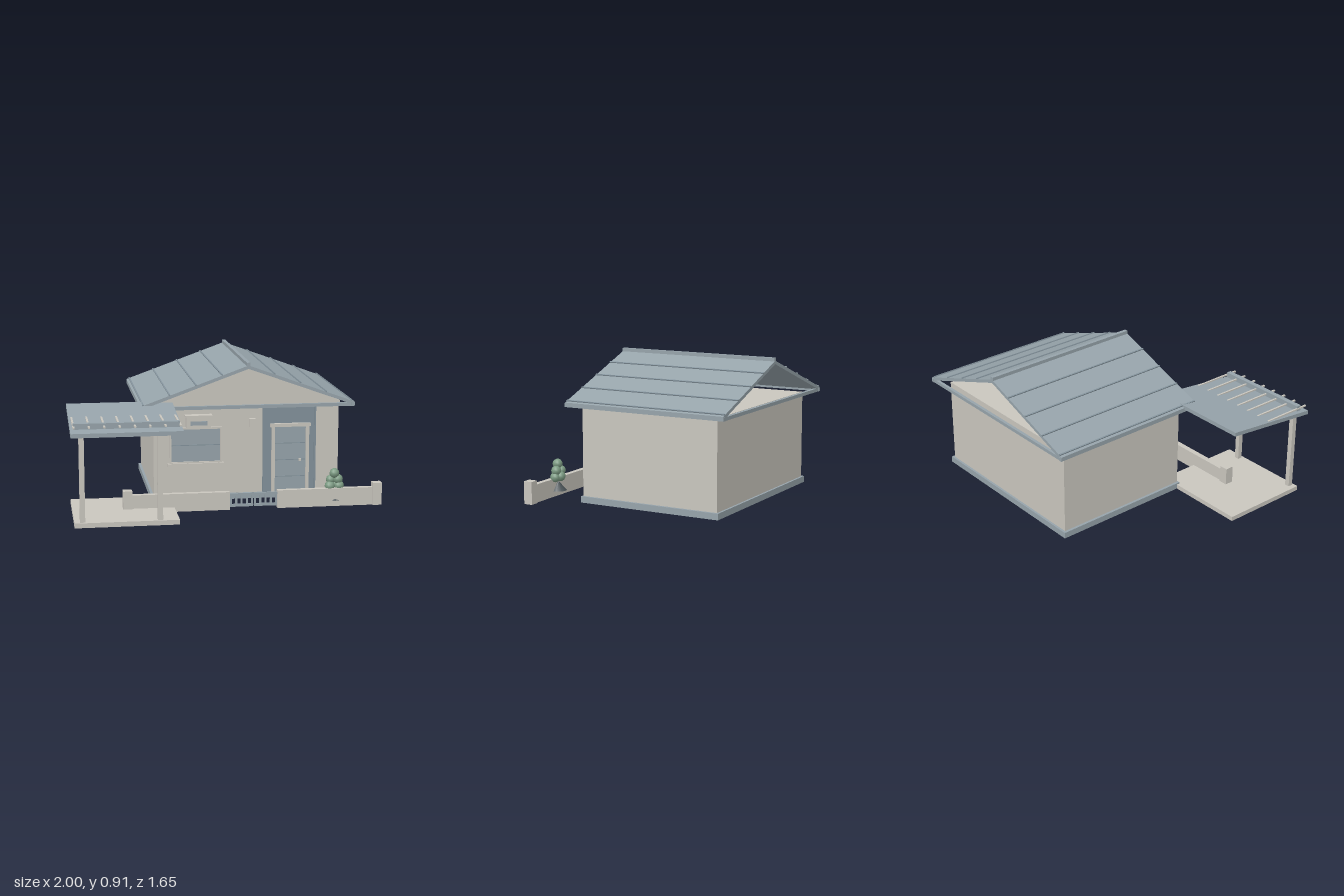
import * as THREE from 'three';

const mat = (name, color, side = THREE.FrontSide) => {
  const m = new THREE.MeshStandardMaterial({ color, side });
  m.name = name;
  return m;
};

export function createModel() {
  const wall = mat('plaster', 0xc9c6be);
  const slate = mat('slateBlue', 0x96a3aa);
  const panel = mat('panelBlue', 0x82919a);
  const leaf = mat('leafGreen', 0x7b9a82);
  const dark = mat('darkSoil', 0x4a5357);
  const model = new THREE.Group();
  model.name = 'house';

  const add = (name, geo, material, parent = model) => {
    const mesh = new THREE.Mesh(geo, material);
    mesh.name = name;
    parent.add(mesh);
    return mesh;
  };
  // Box given by its minimum and maximum on each axis
  const box = (name, m, x0, x1, y0, y1, z0, z1, parent) => {
    const b = add(name, new THREE.BoxGeometry(x1 - x0, y1 - y0, z1 - z0), m, parent);
    b.position.set((x0 + x1) / 2, (y0 + y1) / 2, (z0 + z1) / 2);
    return b;
  };
  const group = (name) => {
    const g = new THREE.Group();
    g.name = name;
    model.add(g);
    return g;
  };
  // Prism along z from an outline in x and y
  const prism = (name, m, pts, z0, z1, parent) => {
    const shape = new THREE.Shape(pts.map(([x, y]) => new THREE.Vector2(x, y)));
    const geo = new THREE.ExtrudeGeometry(shape, { depth: z1 - z0, bevelEnabled: false });
    geo.translate(0, 0, z0);
    return add(name, geo, m, parent);
  };

  // House body, plinth and front gable (the back gable is open)
  const cx = 0.165;
  box('plinth', slate, cx - 0.627, cx + 0.627, 0, 0.04, -0.755, 0.212);
  box('walls', wall, cx - 0.61, cx + 0.61, 0.04, 0.612, -0.74, 0.205);
  prism('frontGable', wall, [[cx - 0.62, 0.61], [cx + 0.62, 0.61], [cx + 0.62, 0.638], [cx, 0.872], [cx - 0.62, 0.638]], 0.19, 0.205);

  // Pitched roof with seams, ridge cap and an eave frame
  const roof = group('mainRoof');
  const half = 0.7, ridgeY = 0.892, eaveY = 0.64, t = 0.022;
  const zB = -0.825, zF = 0.275;
  const pitch = Math.atan2(ridgeY - eaveY, half);
  for (const s of [-1, 1]) {
    const pts = [[cx, ridgeY], [cx, ridgeY - t], [cx + s * half, eaveY - t], [cx + s * half, eaveY]];
    prism('roofSlope', slate, pts, zB, zF, roof);
    for (let i = 1; i <= 4; i++) {
      const d = i * 0.17;
      const seam = add('roofSeam', new THREE.BoxGeometry(0.009, 0.01, zF - zB), panel, roof);
      seam.position.set(cx + s * d, ridgeY - d * Math.tan(pitch) + 0.002, (zB + zF) / 2);
      seam.rotation.z = -s * pitch;
    }
    const e = cx + s * (half - 0.01);
    box('eaveBoard', slate, e - 0.01, e + 0.01, 0.612, 0.636, zB - 0.003, zF + 0.003, roof);
  }
  for (const z of [zB + 0.01, zF - 0.01])
    box('gableBeam', slate, cx - half, cx + half, 0.612, 0.634, z - 0.01, z + 0.01, roof);
  box('ridgeCap', slate, cx - 0.012, cx + 0.012, 0.882, 0.91, zB, zF, roof);

  // Window with frame, middle bar and sill
  const win = group('window');
  box('glass', slate, -0.335, -0.008, 0.25, 0.478, 0.2, 0.213, win);
  box('frameTop', wall, -0.342, 0, 0.474, 0.485, 0.2, 0.222, win);
  box('frameBottom', wall, -0.342, 0, 0.25, 0.26, 0.2, 0.222, win);
  for (const x of [-0.337, -0.005])
    box('frameSide', wall, x - 0.006, x + 0.006, 0.25, 0.485, 0.2, 0.222, win);
  box('middleBar', panel, -0.333, -0.01, 0.366, 0.371, 0.2, 0.217, win);
  box('sill', wall, -0.355, 0.012, 0.23, 0.251, 0.2, 0.235, win);

  // Vent box above the window, and the wall lamp
  const vent = group('ventBox');
  box('ventBody', wall, -0.235, -0.075, 0.487, 0.562, 0.2, 0.25, vent);
  box('ventLid', wall, -0.243, -0.067, 0.562, 0.571, 0.2, 0.262, vent);
  box('ventGrille', slate, -0.21, -0.1, 0.505, 0.532, 0.248, 0.254, vent);
  box('wallLamp', wall, 0.18, 0.22, 0.48, 0.535, 0.2, 0.232);

  // Entrance panel, door frame and door
  const door = group('entrance');
  box('entrancePanel', panel, 0.272, 0.62, 0.02, 0.615, 0.2, 0.214, door);
  for (const x of [0.276, 0.616])
    box('panelEdge', panel, x - 0.006, x + 0.006, 0.02, 0.615, 0.2, 0.222, door);
  box('doorLeaf', slate, 0.345, 0.555, 0.03, 0.476, 0.205, 0.22, door);
  for (const x of [0.338, 0.565])
    box('doorJamb', wall, x - 0.011, x + 0.011, 0.03, 0.484, 0.205, 0.229, door);
  box('doorHead', wall, 0.318, 0.584, 0.476, 0.498, 0.205, 0.236, door);
  for (let i = 1; i <= 3; i++)
    box('doorGroove', panel, 0.352, 0.55, 0.03 + i * 0.111, 0.035 + i * 0.111, 0.21, 0.2225, door);
  box('doorHandle', wall, 0.507, 0.523, 0.245, 0.262, 0.215, 0.236, door);

  // Carport: slab, two posts, sloping roof, rods and cross beam
  const port = group('carport');
  box('slab', wall, -0.985, -0.342, 0, 0.03, 0.19, 0.79, port);
  for (const x of [-0.935, -0.46])
    box('post', wall, x - 0.016, x + 0.016, 0.03, 0.585, 0.743, 0.775, port);
  const roofTop = (z) => 0.59 + (0.825 - z) * 0.1;
  const sheet = new THREE.BoxGeometry(0.68, 0.026, 0.655);
  const p = sheet.attributes.position;
  for (let i = 0; i < p.count; i++) {
    const z = p.getZ(i) + 0.4975;
    p.setXYZ(i, p.getX(i) - 0.66, roofTop(z) - (p.getY(i) < 0 ? 0.026 : 0), z);
  }
  sheet.computeVertexNormals();
  add('carportRoof', sheet, slate, port);
  for (let i = 0; i < 8; i++) {
    const x = -0.98 + i * 0.092;
    box('rod', wall, x - 0.006, x + 0.006, 0.617, 0.626, 0.475, 0.818, port);
  }
  box('crossBeam', slate, -0.982, -0.338, 0.605, 0.64, 0.738, 0.77, port);

  // Garden wall with end pillars
  const fence = group('gardenWall');
  box('wallRight', wall, -0.62, 0.012, 0, 0.116, 0.452, 0.488, fence);
  box('wallLeft', wall, 0.32, 0.95, 0, 0.116, 0.452, 0.488, fence);
  for (const x of [-0.638, 0.971])
    box('pillar', wall, x - 0.029, x + 0.029, 0, 0.145, 0.441, 0.499, fence);

  // Double gate
  const gate = group('gate');
  for (const x0 of [0.014, 0.169]) {
    const x1 = x0 + 0.149;
    box('gateRail', slate, x0, x1, 0.018, 0.035, 0.473, 0.485, gate);
    box('gateRail', slate, x0, x1, 0.09, 0.106, 0.473, 0.485, gate);
    for (let i = 0; i < 5; i++) {
      const x = x0 + 0.006 + i * 0.0342;
      box('gateBar', slate, x - 0.006, x + 0.006, 0.02, 0.104, 0.474, 0.484, gate);
    }
  }

  // Bush of faceted clumps on a low mound
  const bush = group('bush');
  const mound = add('mound', new THREE.ConeGeometry(0.052, 0.06, 10), dark, bush);
  mound.position.set(0.695, 0.066, 0.445);
  const clumps = [
    [0.697, 0.209, 0.45, 0.032], [0.675, 0.165, 0.438, 0.03], [0.722, 0.168, 0.445, 0.032],
    [0.668, 0.125, 0.45, 0.034], [0.7, 0.13, 0.428, 0.033], [0.728, 0.126, 0.448, 0.033],
  ];
  for (const [x, y, z, r] of clumps)
    add('leafClump', new THREE.SphereGeometry(r, 12, 8), leaf, bush).position.set(x, y, z);

  return model;
}
